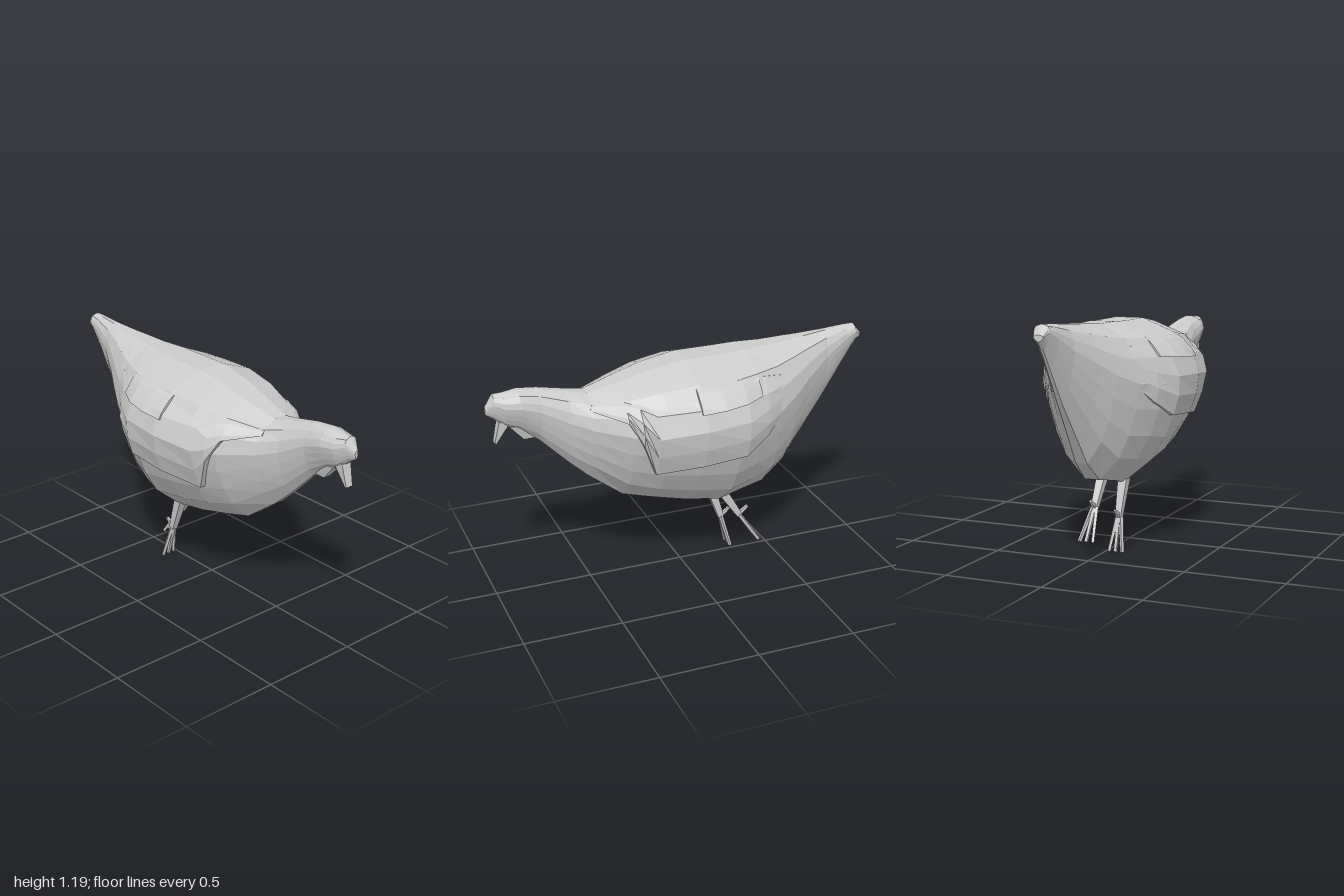
import * as THREE from 'three';

const material = new THREE.MeshStandardMaterial({ color: 0xcccccc, flatShading: true, side: THREE.DoubleSide });

function addMesh(group, geometry, name) {
  const mesh = new THREE.Mesh(geometry, material);
  mesh.name = name;
  group.add(mesh);
  return mesh;
}

// Skin a list of rings (counter-clockwise seen from the front, ordered front to back)
function loft(rings) {
  const n = rings[0].length, last = (rings.length - 1) * n, index = [];
  for (let i = 0; i < rings.length - 1; i++) {
    for (let j = 0; j < n; j++) {
      const a = i * n + j, b = i * n + (j + 1) % n;
      index.push(a, a + n, b, a + n, b + n, b);
    }
  }
  for (let j = 1; j < n - 1; j++) {
    index.push(0, j, j + 1, last, last + j + 1, last + j);
  }
  const geometry = new THREE.BufferGeometry();
  geometry.setAttribute('position', new THREE.Float32BufferAttribute(rings.flat(2), 3));
  geometry.setIndex(index);
  const flat = geometry.toNonIndexed();
  flat.computeVertexNormals();
  return flat;
}

const mirrorRing = ring => ring.map(([x, y, z]) => [-x, y, z]).reverse();

// Half cross-section: [fraction of half width, fraction of height]
const PROFILE = [[0.16, 0], [0.56, 0.15], [0.76, 0.3], [0.91, 0.47], [1, 0.63], [0.92, 0.78], [0.7, 0.91], [0.2, 1]];

// Body stations: z, bottom, top, half width, profile exponent (below 1 lifts the widest point)
const STATIONS = [
  [1.0, 0.99, 1.03, 0.01, 1],
  [0.96, 0.965, 1.09, 0.04, 1],
  [0.91, 0.92, 1.09, 0.065, 1],
  [0.84, 0.89, 1.1, 0.08, 1],
  [0.74, 0.82, 1.09, 0.08, 1],
  [0.6, 0.68, 1.06, 0.11, 1],
  [0.5, 0.59, 1.04, 0.16, 0.9],
  [0.33, 0.465, 1.085, 0.27, 0.95],
  [0.18, 0.425, 1.125, 0.33, 1],
  [0, 0.38, 1.155, 0.36, 1],
  [-0.2, 0.345, 1.155, 0.365, 1],
  [-0.32, 0.375, 1.16, 0.325, 1],
  [-0.45, 0.4, 1.16, 0.255, 1],
  [-0.57, 0.5, 1.168, 0.19, 0.95],
  [-0.66, 0.63, 1.173, 0.14, 0.9],
  [-0.79, 0.81, 1.183, 0.078, 0.85],
  [-0.9, 0.98, 1.193, 0.052, 0.8],
  [-0.965, 1.08, 1.195, 0.042, 0.8],
  [-1.0, 1.12, 1.15, 0.025, 1]
];

function bodyRing([z, bottom, top, width, k]) {
  const half = PROFILE.map(([u, v]) => [u * width, bottom + (top - bottom) * v ** k, z]);
  return [...half, ...mirrorRing(half)];
}

// Half width of the body at a given depth and height
function bodyX(z, y) {
  let i = 0;
  while (i < STATIONS.length - 2 && STATIONS[i + 1][0] > z) i++;
  const p = STATIONS[i], q = STATIONS[i + 1], t = (z - p[0]) / (q[0] - p[0]);
  const half = bodyRing(p.map((value, j) => value + (q[j] - value) * t)).slice(0, PROFILE.length);
  let j = 0;
  while (j < half.length - 2 && half[j + 1][1] < y) j++;
  const s = THREE.MathUtils.clamp((y - half[j][1]) / (half[j + 1][1] - half[j][1]), 0, 1);
  return half[j][0] + (half[j + 1][0] - half[j][0]) * s;
}

// Feather layer lying on the flank; stations: z, lower edge, upper edge, thickness
function featherLayer(stations, side) {
  const rings = stations.map(([z, low, high, thick]) => {
    const ring = [[bodyX(z, low) - 0.015, low, z]];
    [0, 0.25, 0.5, 0.75, 1].forEach(t => {
      const y = low + (high - low) * t;
      ring.push([bodyX(z, y) + thick * (1 - t ** 3), y, z]);
    });
    ring.push([bodyX(z, high) - 0.015, high, z]);
    return side > 0 ? ring : mirrorRing(ring);
  });
  return loft(rings);
}

const WING = [
  [0.51, 0.98, 1.0, 0.005], [0.36, 0.94, 1.04, 0.025], [0.3, 0.83, 1.06, 0.03], [0.23, 0.655, 1.08, 0.03],
  [0, 0.685, 1.09, 0.028], [-0.23, 0.705, 1.09, 0.022], [-0.36, 0.78, 1.07, 0.012], [-0.48, 0.88, 1.05, -0.004]
];
const BACK_FEATHERS = [
  [0.02, 0.97, 1.09, 0.025], [-0.1, 0.98, 1.1, 0.034], [-0.22, 0.99, 1.1, 0.03], [-0.32, 1.0, 1.08, 0.012]
];

// Tapered square rod between two points
function rod(from, to, r0, r1) {
  const a = new THREE.Vector3(...from), b = new THREE.Vector3(...to);
  const axis = b.clone().sub(a);
  const geometry = new THREE.CylinderGeometry(r1, r0, axis.length(), 4).rotateY(Math.PI / 4);
  geometry.applyQuaternion(new THREE.Quaternion().setFromUnitVectors(new THREE.Vector3(0, 1, 0), axis.normalize()));
  const mid = a.add(b).multiplyScalar(0.5);
  return geometry.translate(mid.x, mid.y, mid.z);
}

function makeLeg(name, x, hip, ankle, foot) {
  const leg = new THREE.Group();
  leg.name = name;
  addMesh(leg, rod([x, ...hip], [x, ...ankle], 0.034, 0.022), 'shank');
  for (const k of [-1, 0, 1]) {
    addMesh(leg, rod([x + k * 0.01, ...ankle], [x + k * 0.036, ...foot], 0.012, 0.01), 'toe');
  }
  addMesh(leg, rod([x, ...ankle], [x, ankle[0] + 0.04, ankle[1] - 0.05], 0.014, 0.009), 'backToe');
  return leg;
}

export function createModel() {
  const model = new THREE.Group();
  model.name = 'bird';

  // Body, head and tail in one skin
  addMesh(model, loft(STATIONS.map(bodyRing)), 'body');

  // Folded wings
  for (const side of [1, -1]) {
    const label = side > 0 ? 'left' : 'right';
    addMesh(model, featherLayer(WING, side), label + 'Wing');
    addMesh(model, featherLayer(BACK_FEATHERS, side), label + 'BackFeathers');
  }

  // Downturned beak and throat wattle
  const wedge = (z0, z1, y, w0, tipZ0, tipZ1, tipY, w1) => {
    const ring = (z, zt) => [[-w1, tipY, zt], [w1, tipY, zt], [w0, y, z], [-w0, y, z]];
    return loft([ring(z0, tipZ0), ring(z1, tipZ1)]);
  };
  addMesh(model, wedge(0.94, 0.88, 0.95, 0.028, 0.965, 0.955, 0.84, 0.02), 'beak');
  addMesh(model, wedge(0.89, 0.76, 0.92, 0.035, 0.82, 0.77, 0.84, 0.018), 'wattle');

  // Legs, the left one lifted and swept back
  model.add(makeLeg('rightLeg', -0.055, [0.37, -0.19], [0.18, -0.255], [0.008, -0.3]));
  model.add(makeLeg('leftLeg', 0.05, [0.39, -0.21], [0.23, -0.315], [0.075, -0.42]));
  return model;
}
